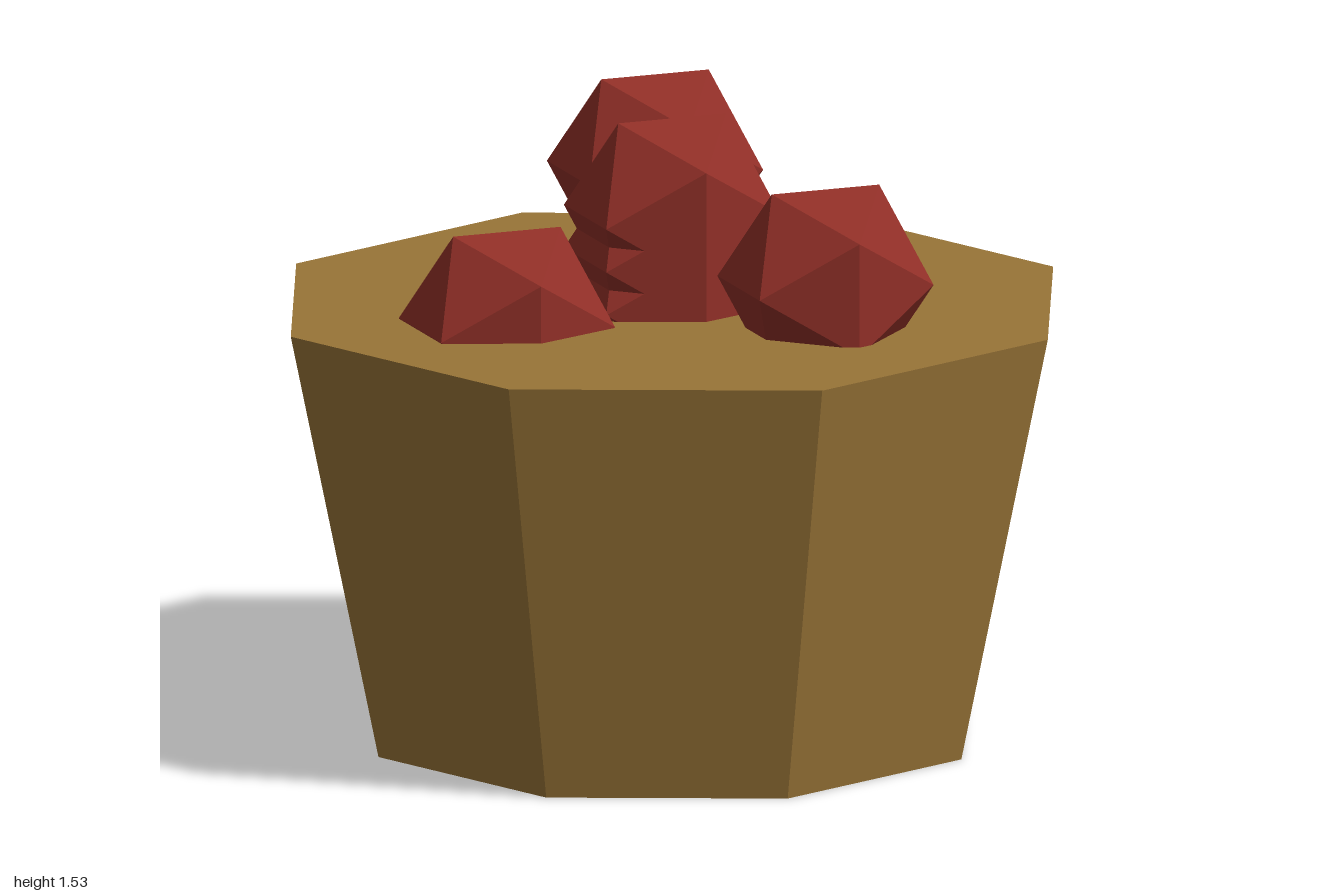
import * as THREE from 'three';

export function createModel() {
  const model = new THREE.Group();
  const wood = new THREE.MeshStandardMaterial({ color: 0x987437, flatShading: true });
  wood.name = 'wood brown';
  const red = new THREE.MeshStandardMaterial({ color: 0x902f27, flatShading: true });
  red.name = 'apple red';

  // Tapered eight-sided tub, closed at the top
  const height = 1.075;
  const tub = new THREE.Mesh(new THREE.CylinderGeometry(1, 0.77, height, 8), wood);
  tub.name = 'tub';
  tub.position.y = height / 2;
  model.add(tub);

  // Faceted fruit: a central stack and three around it
  const fruitGeometry = new THREE.IcosahedronGeometry(0.268, 0);
  const addFruit = (name, x, y, z) => {
    const fruit = new THREE.Mesh(fruitGeometry, red);
    fruit.name = name;
    fruit.position.set(x, y, z);
    model.add(fruit);
  };
  for (let i = 0; i < 3; i++) addFruit(`centreFruit${i + 1}`, 0, 1.092 + i * 0.1075, 0);
  addFruit('rightFruit', -0.458, 1.077, 0.063);
  addFruit('frontFruit', 0.25, 1.193, 0.387);
  addFruit('backFruit', 0.13, 1.307, -0.443);

  return model;
}
